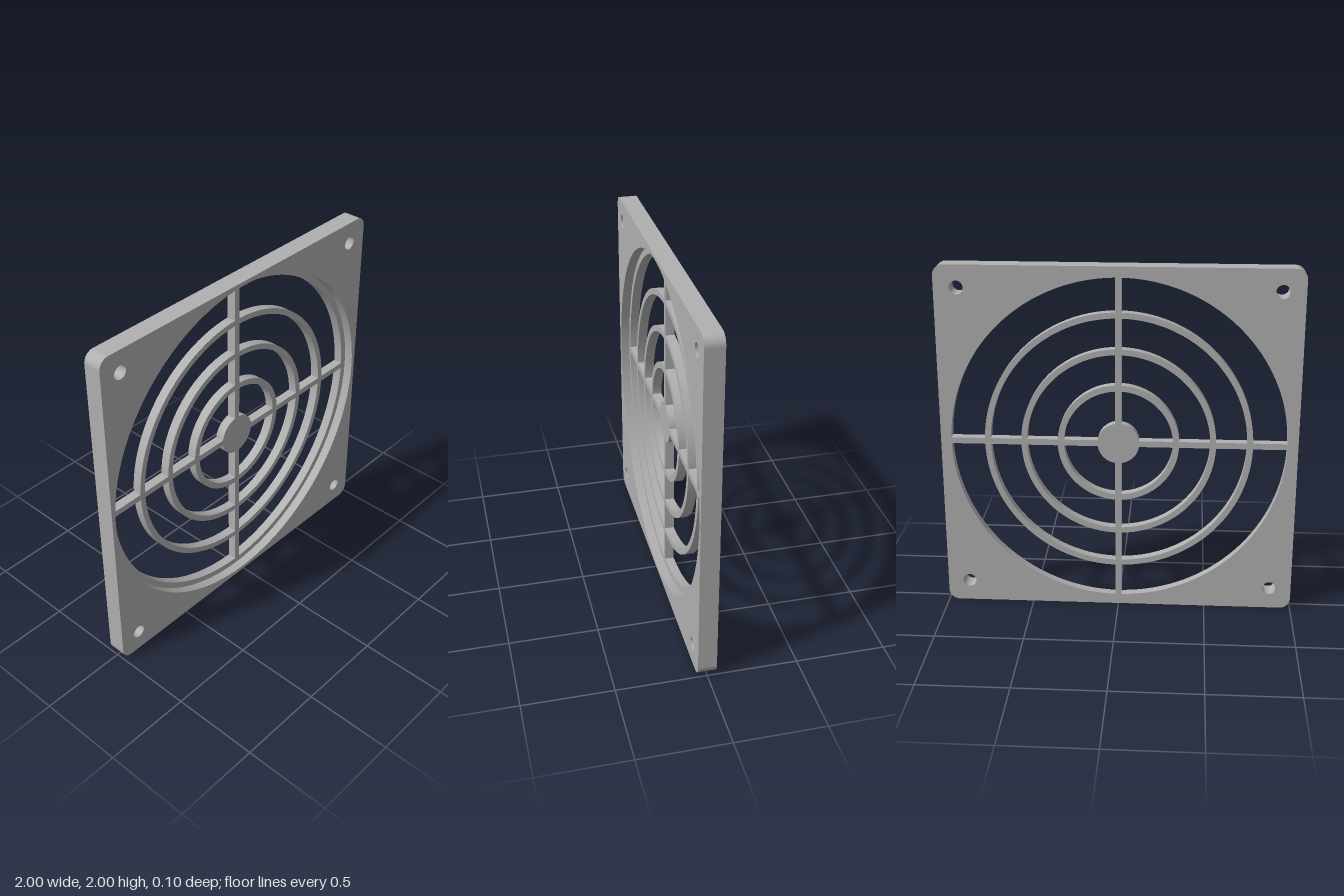
import * as THREE from 'three';
import { toCreasedNormals } from 'three/addons/utils/BufferGeometryUtils.js';

const DEPTH = 0.104, GRILLE_DEPTH = 0.052;
const RECESS = 0.977, SPOKE_HALF = 0.0175;

function circle(x, y, r) {
  return new THREE.Path().absarc(x, y, r, 0, Math.PI * 2, true);
}

// Square outline with rounded corners
function roundedSquare(half, r) {
  const s = new THREE.Shape(), c = half - r;
  [[1, 1], [-1, 1], [-1, -1], [1, -1]].forEach(([x, y], i) =>
    s.absarc(x * c, y * c, r, i * Math.PI / 2, (i + 1) * Math.PI / 2, false));
  s.closePath();
  return s;
}

// Opening between two rings and two neighbouring spokes
function opening(inner, outer, quarter) {
  const start = quarter * Math.PI / 2, end = start + Math.PI / 2;
  const ai = Math.asin(SPOKE_HALF / inner), ao = Math.asin(SPOKE_HALF / outer);
  const p = new THREE.Path();
  p.absarc(0, 0, outer, start + ao, end - ao, false);
  p.absarc(0, 0, inner, end - ai, start + ai, true);
  p.closePath();
  return p;
}

function extrude(name, shape, depth, curveSegments, material) {
  const geo = new THREE.ExtrudeGeometry(shape, { depth, bevelEnabled: false, curveSegments });
  const mesh = new THREE.Mesh(toCreasedNormals(geo, 0.5), material);
  mesh.name = name;
  mesh.position.set(0, 1, -DEPTH / 2);
  return mesh;
}

export function createModel() {
  const group = new THREE.Group();
  group.name = 'fanGuard';
  const grey = new THREE.MeshStandardMaterial({ color: 0xb0b0b0 });
  grey.name = 'grey';

  // Square frame with the round recess and four screw holes
  const frame = roundedSquare(1, 0.06);
  frame.holes.push(circle(0, 0, RECESS));
  for (const x of [-1, 1]) for (const y of [-1, 1])
    frame.holes.push(circle(x * 0.875, y * 0.875, 0.038));
  group.add(extrude('frame', frame, DEPTH, 48, grey));

  // Rim ledge, rings, spokes and hub, flush with the back
  const grille = new THREE.Shape().absarc(0, 0, RECESS, 0, Math.PI * 2, false);
  const gaps = [[0.117, 0.305], [0.34, 0.512], [0.545, 0.717], [0.75, 0.94]];
  for (const [inner, outer] of gaps)
    for (let q = 0; q < 4; q++) grille.holes.push(opening(inner, outer, q));
  group.add(extrude('grille', grille, GRILLE_DEPTH, 48, grey));

  return group;
}
